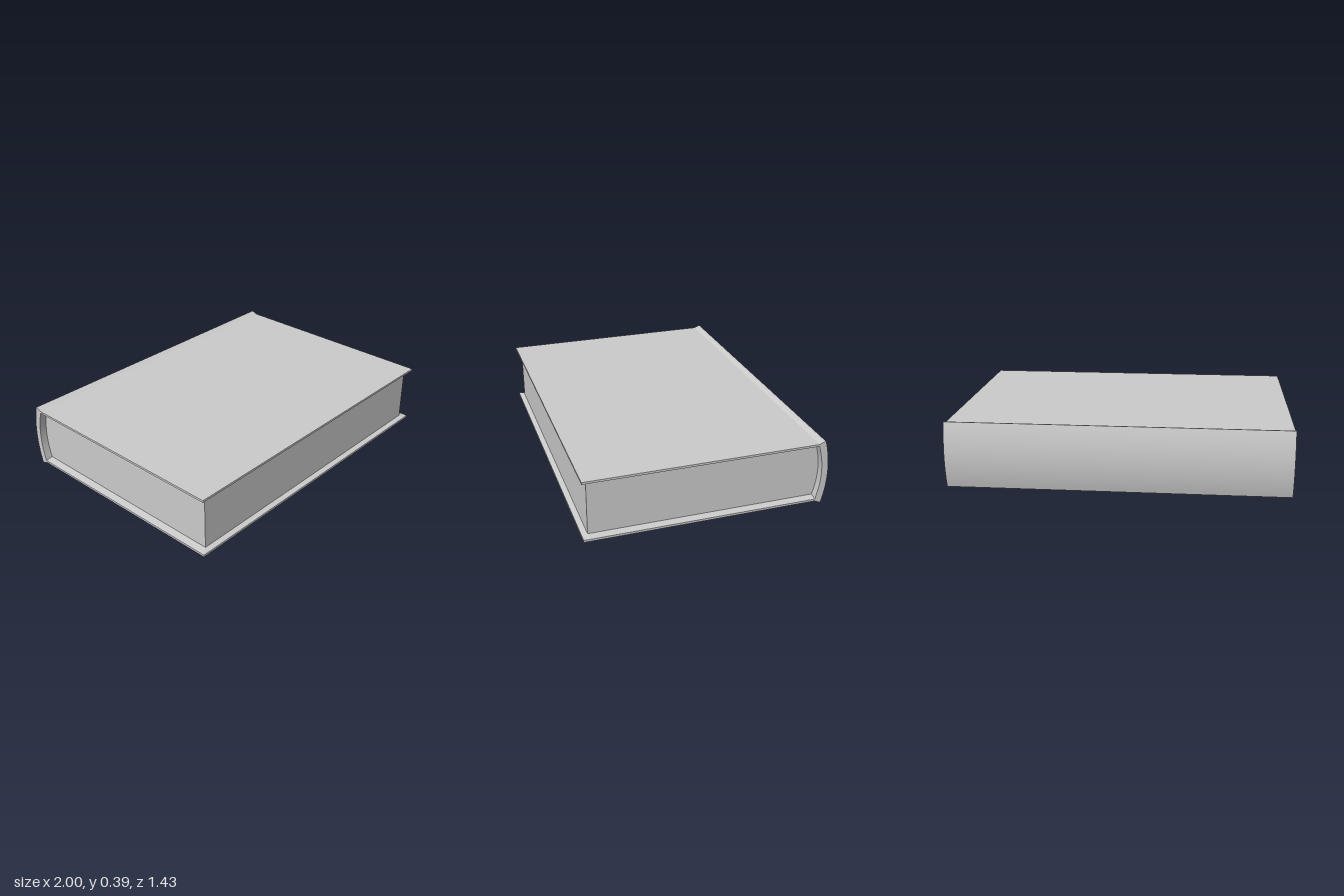
import * as THREE from 'three';
import { toCreasedNormals } from 'three/addons/utils/BufferGeometryUtils.js';

const H = 0.394;          // overall height
const PAGE_X = 0.955;     // half length of the page block
const material = new THREE.MeshStandardMaterial({ color: 0xcccccc });

// Shallow arc of [z, y] points from y = top down to its mirror below
function arc(zEnd, zMid, top, n = 20) {
  return Array.from({ length: n + 1 }, (_, i) => {
    const t = 1 - (2 * i) / n;
    return [zMid + (zEnd - zMid) * t * t, H / 2 + (top - H / 2) * t];
  });
}

// Profile in the z-y plane, extruded along x and centred
function extrudeAlongX(points, length, steps = 1) {
  const shape = new THREE.Shape(points.map(([z, y]) => new THREE.Vector2(z, y)));
  const g = new THREE.ExtrudeGeometry(shape, { depth: length, steps, bevelEnabled: false });
  g.translate(0, 0, -length / 2);
  g.rotateY(-Math.PI / 2);
  return g;
}

const mirrorY = (pts) => pts.map(([z, y]) => [z, H - y]).reverse();

export function createModel() {
  const book = new THREE.Group();
  book.name = 'book';

  // Hard case: two boards joined by a rounded spine
  const outerTop = [[0.715, 0.381], [-0.648, 0.381], [-0.673, 0.392]];
  const innerTop = [[0.683, 0.36], [0.715, 0.368]];
  const caseProfile = [
    ...outerTop,
    ...arc(-0.687, -0.715, H),
    ...mirrorY(outerTop),
    ...mirrorY(innerTop),
    ...arc(-0.65, -0.676, 0.36).reverse(),
    ...innerTop,
  ];
  const caseGeo = extrudeAlongX(caseProfile, 2, 3);
  const p = caseGeo.attributes.position;
  for (let i = 0; i < p.count; i++) {
    const x = p.getX(i), y = p.getY(i);
    if (Math.abs(x) < 0.9) {
      // Inner rings line up with the ends of the page block
      p.setX(i, Math.sign(x) * PAGE_X);
    } else if (Math.abs(Math.abs(y - H / 2) - (0.36 - H / 2)) < 0.001) {
      // Thin the inner faces of the boards towards their ends
      p.setY(i, y + Math.sign(y - H / 2) * 0.008);
    }
  }
  const cover = new THREE.Mesh(toCreasedNormals(caseGeo, 0.09), material);
  cover.name = 'cover';

  // Page block, rounded where it meets the spine
  const pageProfile = [[0.683, 0.361], ...arc(-0.653, -0.679, 0.361), [0.683, H - 0.361]];
  const pages = new THREE.Mesh(
    toCreasedNormals(extrudeAlongX(pageProfile, PAGE_X * 2), 0.09), material);
  pages.name = 'pages';

  book.add(cover, pages);
  return book;
}
